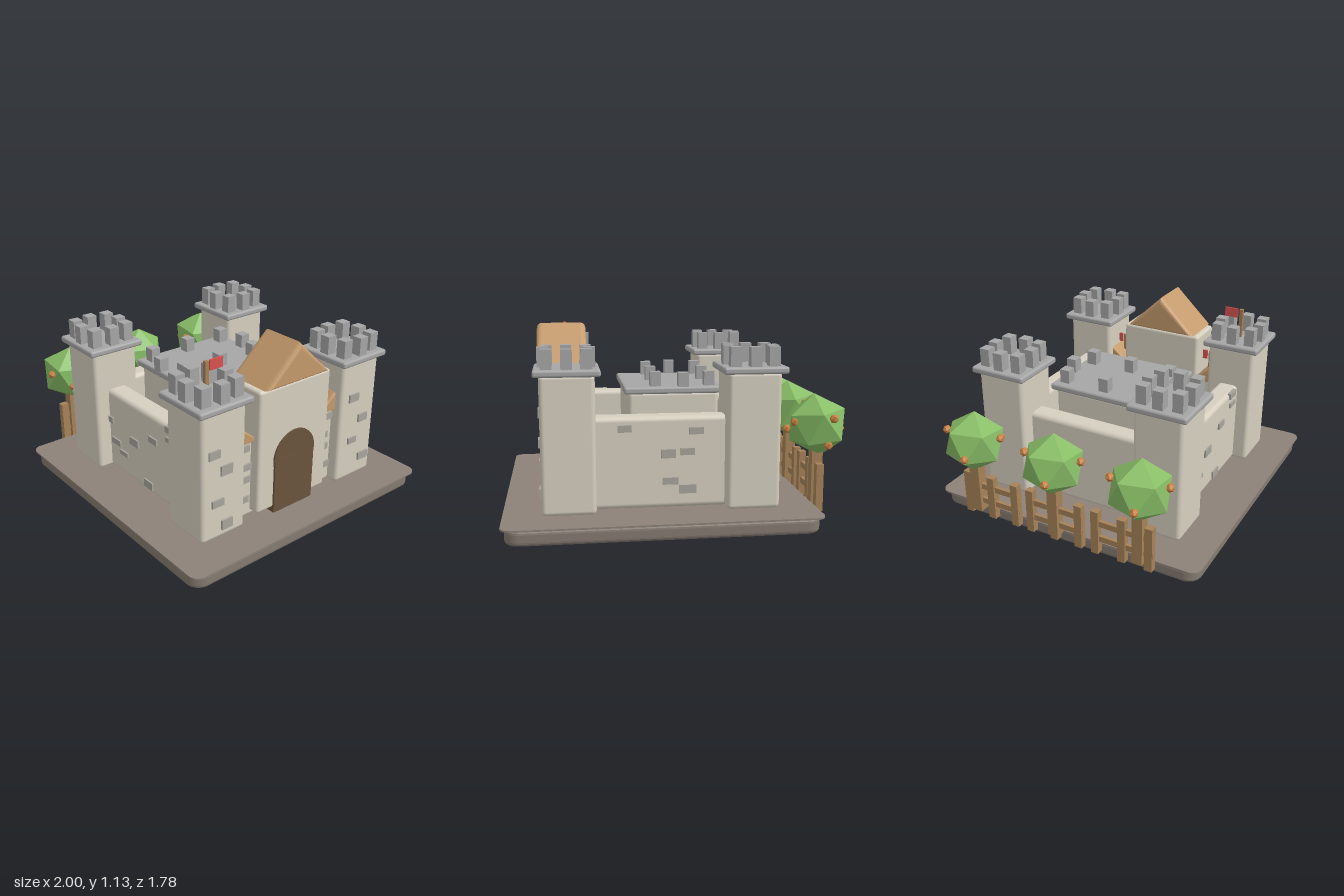
import * as THREE from 'three';
import { RoundedBoxGeometry } from 'three/addons/geometries/RoundedBoxGeometry.js';

const mat = (color, flatShading = false) => new THREE.MeshStandardMaterial({ color, flatShading });
const M = {
  stone: mat(0xd6cfc0), grey: mat(0xa6a6a6), brick: mat(0xa8a49c), ground: mat(0x8d8279),
  base: mat(0x857a70), roof: mat(0xc49a6c), door: mat(0x6b543c), red: mat(0xd9534f),
  wood: mat(0xa68258), leaf: mat(0x88bd66, true), fruit: mat(0xc98142, true),
};

export function createModel() {
  const root = new THREE.Group();
  root.name = 'castle';

  const add = (name, geo, material, x, y, z, parent = root) => {
    const m = new THREE.Mesh(geo, material);
    m.name = name;
    m.position.set(x, y, z);
    parent.add(m);
    return m;
  };
  const group = (name) => {
    const g = new THREE.Group();
    g.name = name;
    root.add(g);
    return g;
  };
  // Boxes are given by their ranges on each axis
  const ranges = (x0, x1, y0, y1, z0, z1) => [x1 - x0, y1 - y0, z1 - z0, (x0 + x1) / 2, (y0 + y1) / 2, (z0 + z1) / 2];
  const box = (name, material, r, parent) => {
    const [w, h, d, x, y, z] = ranges(...r);
    return add(name, new THREE.BoxGeometry(w, h, d), material, x, y, z, parent);
  };
  const soft = (name, material, r, radius, parent) => {
    const [w, h, d, x, y, z] = ranges(...r);
    return add(name, new RoundedBoxGeometry(w, h, d, 3, radius), material, x, y, z, parent);
  };

  // Ground slab with rounded plan corners
  const plate = (name, material, hx, hz, y0, y1, bevel) => {
    const r = 0.06, a = hx - bevel, b = hz - bevel;
    const s = new THREE.Shape();
    s.absarc(a - r, b - r, r, 0, Math.PI / 2);
    s.absarc(r - a, b - r, r, Math.PI / 2, Math.PI);
    s.absarc(r - a, r - b, r, Math.PI, Math.PI * 1.5);
    s.absarc(a - r, r - b, r, Math.PI * 1.5, Math.PI * 2);
    const geo = new THREE.ExtrudeGeometry(s, {
      depth: y1 - y0 - 2 * bevel, bevelEnabled: bevel > 0, bevelSize: bevel,
      bevelThickness: bevel, bevelSegments: 4, curveSegments: 6,
    });
    geo.rotateX(-Math.PI / 2);
    add(name, geo, material, 0.105, y0 + bevel, 0);
  };
  plate('base', M.base, 0.875, 0.875, 0, 0.092, 0.025);
  plate('ground', M.ground, 0.895, 0.89, 0.09, 0.1, 0);
  box('courtyardFloor', M.stone, [-0.4, 0.56, 0.098, 0.11, -0.48, 0.48]);

  // Ring of eight merlons: corners at (cx, cz), middles pushed out
  const merlons = (x, y, z, cx, cz, mx, mz, w, h, parent) => {
    for (const i of [-1, 0, 1]) for (const k of [-1, 0, 1]) {
      if (!i && !k) continue;
      const px = k ? i * cx : i * mx, pz = i ? (k ? k * cz : 0) : k * mz;
      add('merlon', new THREE.BoxGeometry(w, h, w), M.grey, x + px, y + h / 2, z + pz, parent);
    }
  };

  // Corner towers
  for (const x of [-0.42, 0.628]) for (const s of [-1, 1]) {
    const z = s * 0.525, t = group('tower');
    soft('towerBody', M.stone, [x - 0.153, x + 0.153, 0.1, 0.89, z - 0.153, z + 0.153], 0.025, t);
    soft('towerCap', M.grey, [x - 0.185, x + 0.185, 0.88, 0.92, z - 0.183, z + 0.183], 0.014, t);
    merlons(x, 0.92, z, 0.11, 0.11, 0.13, 0.13, 0.063, 0.11, t);
  }

  // Curtain walls
  for (const s of [-1, 1]) {
    const z = s * 0.518;
    soft('sideWall', M.stone, [-0.4, 0.6, 0.1, 0.635, z - 0.068, z + 0.068], 0.03);
  }
  soft('backWall', M.stone, [-0.48, -0.35, 0.1, 0.635, -0.5, 0.5], 0.03);
  soft('frontWall', M.stone, [0.55, 0.71, 0.1, 0.6, -0.5, 0.5], 0.02);

  // Central keep
  const keep = group('keep');
  soft('keepBody', M.stone, [-0.28, 0.265, 0.1, 0.735, -0.32, 0.32], 0.025, keep);
  soft('keepCap', M.grey, [-0.305, 0.29, 0.725, 0.767, -0.347, 0.347], 0.014, keep);
  merlons(-0.063, 0.767, 0, 0.163, 0.272, 0.163, 0.325, 0.063, 0.085, keep);

  // Gabled roof with softened edges, ridge along x
  const gable = (name, x, y, z, half, height, depth, b) => {
    const slope = Math.atan2(height, half);
    const inner = half - b / Math.tan(slope / 2);
    const s = new THREE.Shape();
    s.moveTo(-inner, b);
    s.lineTo(inner, b);
    s.lineTo(0, b + inner * Math.tan(slope));
    s.closePath();
    const geo = new THREE.ExtrudeGeometry(s, { depth: depth - 2 * b, bevelSize: b, bevelThickness: b, bevelSegments: 4 });
    geo.translate(0, 0, b - depth / 2).rotateY(Math.PI / 2);
    add(name, geo, M.roof, x, y, z);
  };
  gable('gatehouseRoof', 0.65, 0.885, 0, 0.28, 0.245, 0.3, 0.03);
  for (const s of [-1, 1]) gable('wallRoof', 0.63, 0.58, s * 0.38, 0.17, 0.13, 0.21, 0.015);

  // Gatehouse and arched door
  soft('gatehouse', M.stone, [0.52, 0.775, 0.13, 0.9, -0.272, 0.272], 0.02);
  box('doorLower', M.door, [0.7, 0.787, 0.1, 0.44, -0.152, 0.152]);
  const arch = add('doorArch', new THREE.CylinderGeometry(0.158, 0.158, 0.09, 32), M.door, 0.74, 0.44, 0);
  arch.rotation.z = Math.PI / 2;

  // Flags flying toward the back
  const flag = (z, y0, y1, h) => {
    const f = group('flag');
    box('flagPole', M.wood, [0.615, 0.637, y0, y1, z - 0.011, z + 0.011], f);
    box('flagCloth', M.red, [0.622, 0.632, y1 - h, y1, z - 0.112, z - 0.024], f);
  };
  flag(0.525, 0.92, 1.105, 0.06);
  flag(0.328, 0.6, 0.775, 0.06);
  flag(-0.322, 0.6, 0.775, 0.06);

  // Raised bricks: [along, y, width, height]
  const bricksZ = (list, z) => list.forEach(([x, y, w, h]) =>
    add('brick', new THREE.BoxGeometry(w, h, 0.026), M.brick, x, y, z));
  const bricksX = (list, x) => list.forEach(([z, y, w, h]) =>
    add('brick', new THREE.BoxGeometry(0.026, h, w), M.brick, x, y, z));
  bricksZ([[-0.25, 0.44, 0.06, 0.04], [-0.195, 0.305, 0.1, 0.04], [-0.11, 0.255, 0.09, 0.03],
    [0.01, 0.385, 0.09, 0.05], [0.15, 0.155, 0.085, 0.05], [0.21, 0.48, 0.085, 0.04],
    [0.385, 0.615, 0.09, 0.04], [0.385, 0.55, 0.085, 0.03]], 0.584);
  bricksZ([[0.31, 0.57, 0.08, 0.04], [0.06, 0.42, 0.085, 0.05], [-0.05, 0.43, 0.08, 0.04],
    [0.05, 0.26, 0.09, 0.04], [-0.05, 0.21, 0.1, 0.05], [-0.1, 0.55, 0.085, 0.04]], -0.584);
  bricksX([[0.595, 0.64, 0.075, 0.05], [0.51, 0.525, 0.08, 0.06], [0.57, 0.335, 0.08, 0.045],
    [0.505, 0.18, 0.075, 0.06], [-0.48, 0.655, 0.08, 0.05], [-0.57, 0.5, 0.075, 0.05],
    [-0.49, 0.365, 0.07, 0.04], [-0.6, 0.225, 0.085, 0.05]], 0.779);
  for (const s of [-1, 1]) {
    bricksX([[s * 0.33, 0.55, 0.08, 0.04], [s * 0.3, 0.43, 0.08, 0.04],
      [s * 0.31, 0.35, 0.07, 0.04], [s * 0.33, 0.22, 0.08, 0.04]], 0.709);
  }

  // Trees with fruit
  const fruits = [[0.045, 0.035, 0.155], [-0.16, -0.035, 0.05], [0.16, -0.035, 0.07],
    [-0.05, 0.06, -0.155], [0.15, 0.03, -0.06], [-0.03, -0.1, -0.13]];
  for (const z of [-0.55, 0, 0.55]) {
    const tree = group('tree');
    tree.position.set(-0.82, 0, z);
    add('trunk', new THREE.BoxGeometry(0.065, 0.34, 0.065), M.wood, 0, 0.26, 0, tree);
    const crown = new THREE.IcosahedronGeometry(0.187, 0);
    crown.rotateZ(-0.5536).rotateY(0.3).rotateZ(-0.12);
    add('crown', crown, M.leaf, 0, 0.56, 0, tree);
    for (const [fx, fy, fz] of fruits) {
      add('fruit', new THREE.IcosahedronGeometry(0.027, 0), M.fruit, fx, 0.56 + fy, fz, tree);
    }
  }

  // Fence panels with posts and two rails
  for (const [z0, z1] of [[-0.64, -0.25], [-0.19, 0.19], [0.25, 0.64]]) {
    const fence = group('fencePanel');
    for (const t of [0, 0.5, 1]) {
      const z = THREE.MathUtils.lerp(z0 + 0.025, z1 - 0.025, t);
      box('fencePost', M.wood, [-0.843, -0.8, 0.06, 0.34, z - 0.024, z + 0.024], fence);
    }
    for (const y of [0.16, 0.26]) box('fenceRail', M.wood, [-0.832, -0.81, y - 0.018, y + 0.018, z0, z1], fence);
  }

  return root;
}
